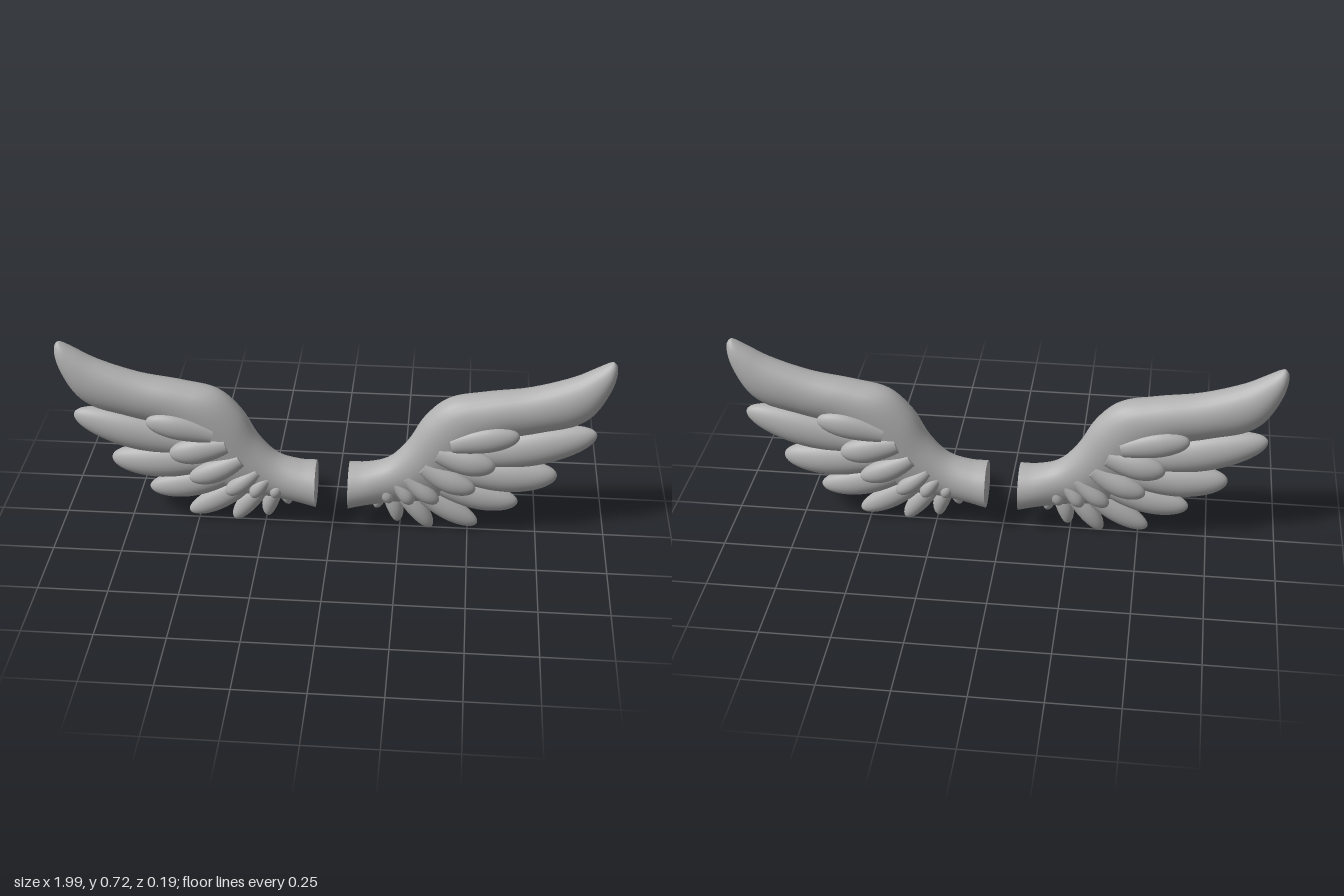
import * as THREE from 'three';

const plumage = new THREE.MeshStandardMaterial({ color: 0xb0b0b0 });
plumage.name = 'plumage grey';

const RING = 28;

// Skin a row of cross-sections, each { top, bottom, depth, skew, z }.
// The ring runs top, +z, bottom, -z; skew moves the thickness towards the top edge.
function loft(sections, side) {
  const pos = [], idx = [];
  const tri = (a, b, c) => (side > 0 ? idx.push(a, b, c) : idx.push(a, c, b));
  const addRing = (s) => {
    for (let j = 0; j < RING; j++) {
      const a = (j / RING) * Math.PI * 2;
      const u = (1 - Math.cos(a)) / 2;
      pos.push(
        side * (s.top[0] + (s.bottom[0] - s.top[0]) * u),
        s.top[1] + (s.bottom[1] - s.top[1]) * u,
        (s.z || 0) + s.depth * Math.sin(a) * (1 + s.skew * 0.45 * (0.35 - u))
      );
    }
  };
  const addCentre = (s) => {
    pos.push(side * (s.top[0] + s.bottom[0]) / 2, (s.top[1] + s.bottom[1]) / 2, s.z || 0);
    return pos.length / 3 - 1;
  };
  sections.forEach(addRing);
  for (let i = 0; i < sections.length - 1; i++) {
    for (let j = 0; j < RING; j++) {
      const k = (j + 1) % RING, p = i * RING, q = p + RING;
      tri(p + j, p + k, q + j);
      tri(p + k, q + k, q + j);
    }
  }
  // Rounded tip
  const last = (sections.length - 1) * RING;
  const tip = addCentre(sections[sections.length - 1]);
  for (let j = 0; j < RING; j++) tri(tip, last + j, last + ((j + 1) % RING));
  // Flat start cap with its own vertices for a sharp rim
  const first = pos.length / 3;
  addRing(sections[0]);
  const hub = addCentre(sections[0]);
  for (let j = 0; j < RING; j++) tri(hub, first + ((j + 1) % RING), first + j);

  const g = new THREE.BufferGeometry();
  g.setAttribute('position', new THREE.Float32BufferAttribute(pos, 3));
  g.setIndex(idx);
  g.computeVertexNormals();
  return g;
}

// Arm running out into the longest feather: top x, y, bottom x, y, half depth, skew
const ARM = [
  [0.06, 0.265, 0.06, 0.09, 0.09, 0],
  [0.12, 0.268, 0.13, 0.105, 0.08, 0.2],
  [0.2, 0.295, 0.24, 0.12, 0.067, 0.6],
  [0.27, 0.37, 0.4, 0.15, 0.07, 1],
  [0.33, 0.475, 0.5, 0.24, 0.078, 1],
  [0.41, 0.55, 0.57, 0.33, 0.08, 1],
  [0.54, 0.58, 0.63, 0.4, 0.076, 0.8],
  [0.7, 0.607, 0.74, 0.437, 0.07, 0.4],
  [0.85, 0.657, 0.875, 0.475, 0.065, 0.2],
  [0.92, 0.695, 0.95, 0.55, 0.053, 0],
  [0.965, 0.72, 0.988, 0.635, 0.035, 0],
  [0.98, 0.725, 0.997, 0.685, 0.018, 0],
  [0.99, 0.718, 0.996, 0.705, 0.004, 0],
];

function armSections() {
  const top = new THREE.CatmullRomCurve3(ARM.map((r) => new THREE.Vector3(r[0], r[1], r[4])));
  const bottom = new THREE.CatmullRomCurve3(ARM.map((r) => new THREE.Vector3(r[2], r[3], r[5])));
  const out = [];
  for (let i = 0; i <= 60; i++) {
    const a = top.getPoint(i / 60), b = bottom.getPoint(i / 60);
    out.push({ top: [a.x, a.y], bottom: [b.x, b.y], depth: a.z, skew: b.z });
  }
  return out;
}

// Blunt leaf-shaped feather along a curved spine
function featherSections([bx, by, mx, my, tx, ty, width, depth], z) {
  const spine = new THREE.QuadraticBezierCurve(
    new THREE.Vector2(bx, by), new THREE.Vector2(mx, my), new THREE.Vector2(tx, ty));
  const out = [];
  for (let i = 0; i <= 20; i++) {
    const t = Math.sin((i / 20) * Math.PI / 2) * 0.9995;
    const p = spine.getPoint(t), d = spine.getTangent(t);
    const taper = (0.6 + 0.4 * Math.sin(Math.min(1, t * 1.5) * Math.PI / 2)) * Math.sqrt(1 - t ** 3.2);
    const w = width * taper;
    out.push({
      top: [p.x - d.y * w, p.y + d.x * w],
      bottom: [p.x + d.y * w, p.y - d.x * w],
      depth: depth * taper, skew: 0, z,
    });
  }
  return out;
}

// base, bend, tip, half width, half depth
const FLIGHT = [
  [0.46, 0.33, 0.72, 0.36, 0.945, 0.435, 0.08, 0.062],
  [0.4, 0.28, 0.64, 0.235, 0.815, 0.258, 0.074, 0.06],
  [0.34, 0.23, 0.52, 0.145, 0.68, 0.135, 0.062, 0.05],
  [0.28, 0.2, 0.42, 0.09, 0.535, 0.035, 0.05, 0.04],
  [0.23, 0.18, 0.32, 0.09, 0.365, 0.01, 0.04, 0.036],
  [0.19, 0.17, 0.24, 0.11, 0.24, 0.03, 0.034, 0.034],
  [0.16, 0.18, 0.18, 0.14, 0.16, 0.085, 0.028, 0.032],
];

// Same, followed by the distance from the middle plane
const COVERTS = [
  [0.43, 0.4, 0.56, 0.435, 0.67, 0.445, 0.055, 0.04, 0.06],
  [0.38, 0.36, 0.5, 0.32, 0.59, 0.315, 0.055, 0.042, 0.057],
  [0.33, 0.3, 0.43, 0.23, 0.522, 0.212, 0.048, 0.04, 0.053],
  [0.27, 0.25, 0.34, 0.18, 0.39, 0.15, 0.036, 0.034, 0.048],
  [0.23, 0.22, 0.28, 0.17, 0.29, 0.135, 0.03, 0.03, 0.046],
  [0.18, 0.2, 0.21, 0.17, 0.21, 0.135, 0.026, 0.028, 0.044],
];

function createWing(side, name) {
  const wing = new THREE.Group();
  wing.name = name;
  const add = (part, sections) => {
    const m = new THREE.Mesh(loft(sections, side), plumage);
    m.name = part;
    wing.add(m);
  };
  add('wingArm', armSections());
  FLIGHT.forEach((f, i) => add('flightFeather' + (i + 1), featherSections(f, 0)));
  COVERTS.forEach((c, i) => {
    add('frontCovert' + (i + 1), featherSections(c, c[8]));
    add('backCovert' + (i + 1), featherSections(c, -c[8]));
  });
  return wing;
}

export function createModel() {
  const model = new THREE.Group();
  model.name = 'wings';
  model.add(createWing(1, 'leftWing'), createWing(-1, 'rightWing'));
  return model;
}
